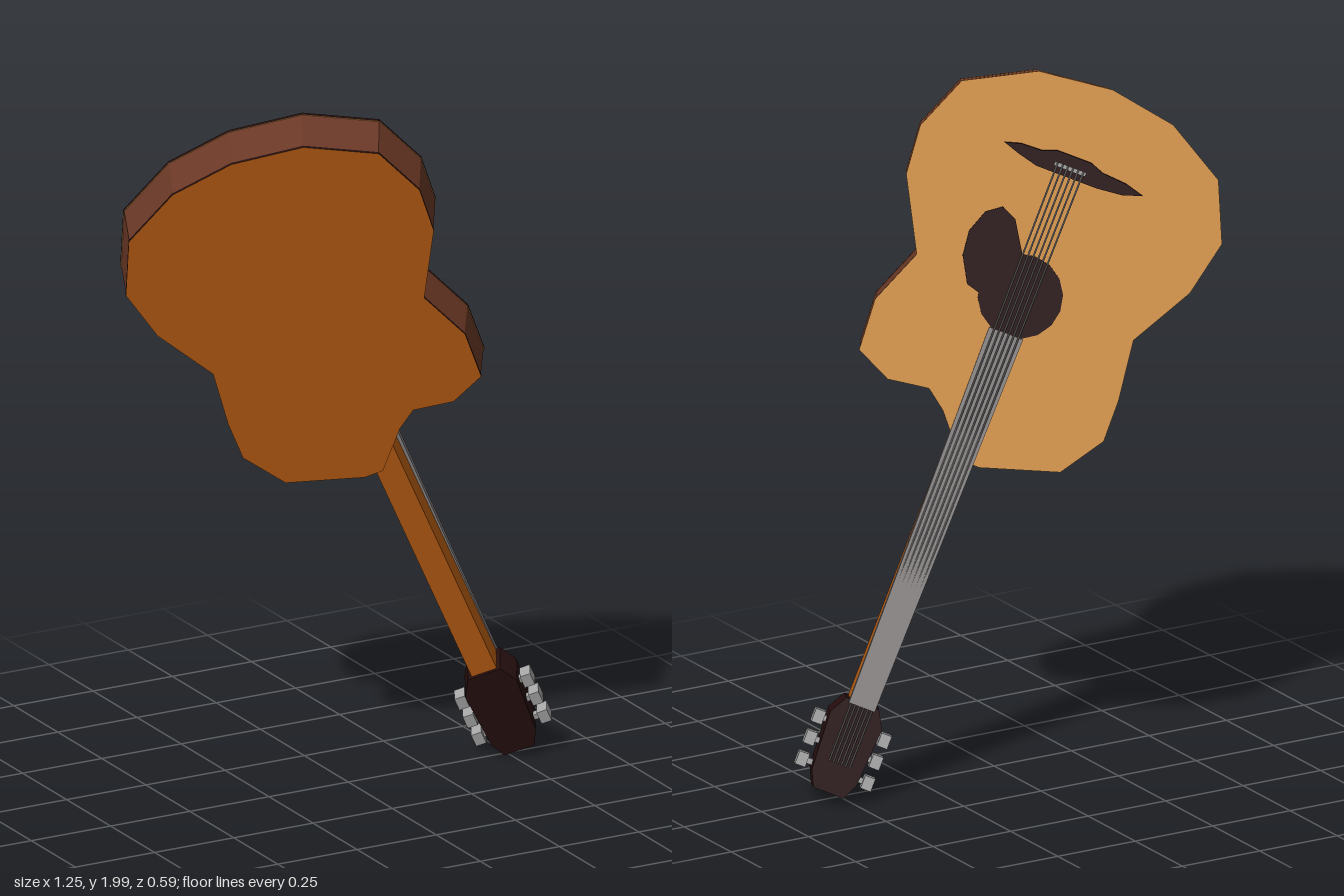
import * as THREE from 'three';

const mat = (name, color) => {
  const m = new THREE.MeshStandardMaterial({ color });
  m.name = name;
  return m;
};

export function createModel() {
  const spruce = mat('pale top wood', 0xd4954a);
  const orange = mat('orange wood', 0xb85c12);
  const brown = mat('brown side wood', 0x6a3826);
  const dark = mat('dark wood', 0x260e0e);
  const grey = mat('grey metal', 0x8c8888);
  const silver = mat('tuner metal', 0xa6a6a6);

  // Local frame: +z out of the soundboard, -y along the neck, x across
  const guitar = new THREE.Group();
  guitar.name = 'guitar';
  const add = (name, geo, material, x = 0, y = 0, z = 0) => {
    const mesh = new THREE.Mesh(geo, material);
    mesh.name = name;
    mesh.position.set(x, y, z);
    guitar.add(mesh);
    return mesh;
  };
  const box = (name, material, w, h, d, x, y, z) =>
    add(name, new THREE.BoxGeometry(w, h, d), material, x, y, z);
  const plate = (pts, depth) => new THREE.ExtrudeGeometry(
    new THREE.Shape(pts.map(([x, y]) => new THREE.Vector2(x, y))),
    { depth, bevelEnabled: false });

  // Body outline with a cutaway beside the neck
  const outline = [
    [0.385, 0.672], [0.218, 0.768], [0.032, 0.799], [-0.172, 0.776], [-0.356, 0.679],
    [-0.417, 0.527], [-0.405, 0.391], [-0.301, 0.199], [-0.362, 0.047], [-0.353, -0.096],
    [-0.253, -0.143], [-0.14, -0.127], [-0.084, -0.169], [0.009, -0.278], [0.063, -0.279],
    [0.271, -0.214], [0.35, -0.095], [0.348, 0.021], [0.327, 0.188], [0.423, 0.36], [0.456, 0.514],
  ];
  // Slice of the body between two depths, widening gently towards the soundboard
  const slice = (name, z0, z1, grow, materials) => {
    const geo = plate(outline, z1 - z0);
    const p = geo.attributes.position;
    for (let i = 0; i < p.count; i++) {
      const z = p.getZ(i) + z0;
      const s = 1 + grow + 0.025 * (z + 0.08) / 0.16;
      p.setXYZ(i, p.getX(i) * s, 0.25 + (p.getY(i) - 0.25) * s, z);
    }
    geo.computeVertexNormals();
    add(name, geo, materials);
  };
  slice('bodySides', -0.074, 0.074, 0, brown);
  slice('bodyBack', -0.08, -0.072, 0.004, [orange, dark]);
  slice('soundboard', 0.072, 0.08, 0.004, [spruce, dark]);

  // Sound hole and the guard beside it
  add('soundHole', new THREE.CylinderGeometry(0.118, 0.118, 0.005, 16).rotateX(Math.PI / 2),
    dark, 0, 0.19, 0.081);
  add('pickGuard', plate([
    [-0.03, 0.29], [-0.08, 0.15], [-0.15, 0.17], [-0.19, 0.24],
    [-0.198, 0.31], [-0.175, 0.375], [-0.135, 0.405], [-0.09, 0.385]], 0.006), dark, 0, 0, 0.079);

  // Bridge, widest in the middle, with a saddle
  add('bridge', plate([
    [-0.195, 0.575], [-0.15, 0.56], [-0.09, 0.545], [0.09, 0.545], [0.16, 0.552], [0.215, 0.57],
    [0.16, 0.585], [0.09, 0.59], [0.05, 0.605], [-0.05, 0.605], [-0.09, 0.59], [-0.15, 0.588]],
    0.018), dark, 0, 0, 0.078);
  box('saddle', silver, 0.09, 0.01, 0.006, 0, 0.57, 0.097);

  // Neck and fretboard
  box('neck', orange, 0.074, 0.98, 0.096, 0, -0.58, 0.013);
  add('fretboard', plate([
    [-0.038, -1.03], [0.038, -1.03], [0.05, 0.08], [-0.05, 0.08]], 0.025), grey, 0, 0, 0.06);

  // Six strings running from the headstock to the bridge
  for (let i = 0; i < 6; i++) {
    const t = (i - 2.5) / 2.5;
    const path = new THREE.LineCurve3(
      new THREE.Vector3(t * 0.03, -1.2, 0.076),
      new THREE.Vector3(t * 0.038, 0.575, 0.1));
    add('string', new THREE.TubeGeometry(path, 1, 0.0025, 4), grey);
  }

  // Headstock with three tuners on each side
  add('headstock', plate([
    [-0.048, -1.02], [-0.076, -1.07], [-0.066, -1.24], [-0.045, -1.285],
    [0.045, -1.285], [0.066, -1.24], [0.076, -1.07], [0.048, -1.02]], 0.115), dark, 0, 0, -0.045);
  for (const side of [-1, 1]) {
    for (let i = 0; i < 3; i++) {
      const y = -1.1 - i * 0.063;
      box('tunerPost', silver, 0.04, 0.016, 0.02, side * 0.075, y, 0.007);
      box('tunerKnob', silver, 0.03, 0.038, 0.048, side * 0.097, y, 0.007);
    }
  }

  // Lean the instrument, neck down, soundboard turned to the rear
  const lean = 0.433, turn = 0.532;
  const yAxis = new THREE.Vector3(-Math.sin(lean), Math.cos(lean), 0);
  const zAxis = new THREE.Vector3(
    Math.sin(turn) * Math.cos(lean), Math.sin(turn) * Math.sin(lean), -Math.cos(turn));
  const xAxis = new THREE.Vector3().crossVectors(yAxis, zAxis);
  guitar.quaternion.setFromRotationMatrix(new THREE.Matrix4().makeBasis(xAxis, yAxis, zAxis));
  guitar.position.set(0, 1.2, 0);

  const model = new THREE.Group();
  model.name = 'model';
  model.add(guitar);
  return model;
}
